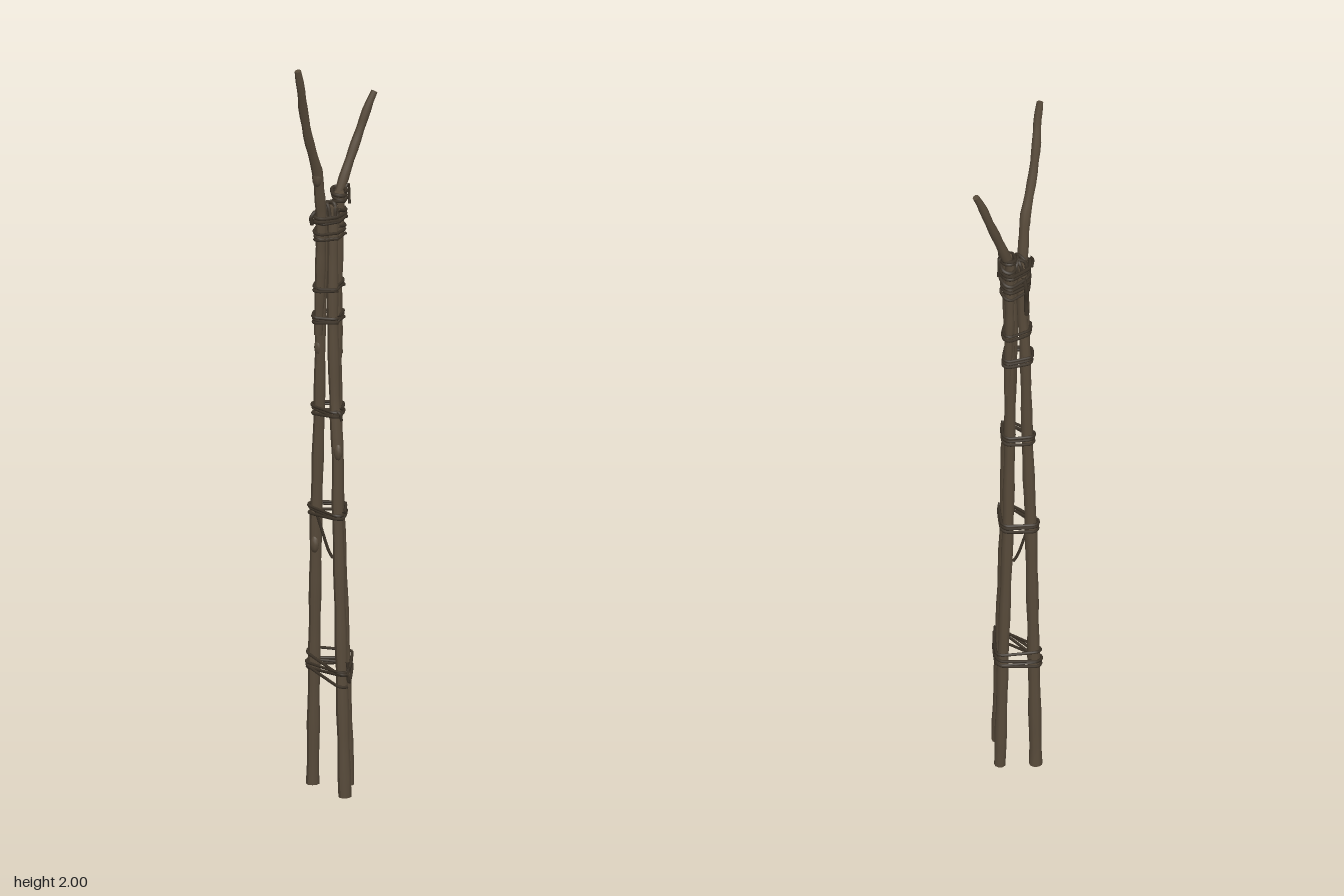
import * as THREE from 'three';

const wood = new THREE.MeshStandardMaterial({ color: 0x574a3a });
wood.name = 'weathered wood';
const cord = new THREE.MeshStandardMaterial({ color: 0x3b3227 });
cord.name = 'dark cord';

// Each stick is a path of [x, y, z, radius], ordered by height
const sticks = {
  leftLeg: [[0.069, 0, 0.005, 0.017], [0.056, 0.4, 0.005, 0.016], [0.042, 0.78, 0.003, 0.015],
    [0.04, 0.93, 0, 0.016], [0.027, 1.05, -0.003, 0.015], [0.018, 1.3, -0.004, 0.015], [0.016, 1.59, -0.008, 0.014]],
  rightLeg: [[-0.07, 0, -0.025, 0.017], [-0.06, 0.36, -0.02, 0.016], [-0.046, 0.75, -0.012, 0.016],
    [-0.031, 1.03, -0.007, 0.015], [-0.022, 1.32, -0.003, 0.014], [-0.012, 1.4, 0, 0.014], [-0.01, 1.57, 0, 0.014]],
  backLeg: [[0.004, 0, -0.081, 0.016], [0.002, 0.35, -0.069, 0.015], [0, 0.76, -0.049, 0.015],
    [0.003, 1.03, -0.037, 0.015], [0.004, 1.3, -0.034, 0.014], [0.014, 1.62, -0.036, 0.014]],
  frontBranch: [[-0.014, 1.24, 0.016, 0.011], [-0.004, 1.4, 0.019, 0.014], [0.005, 1.57, 0.025, 0.014],
    [0.012, 1.69, 0.046, 0.014], [0.017, 1.8, 0.09, 0.012], [0.022, 1.88, 0.114, 0.012],
    [0.033, 1.94, 0.134, 0.011], [0.034, 1.996, 0.148, 0.009]],
  backBranch: [[0.006, 1.18, -0.044, 0.009], [0, 1.4, -0.043, 0.012], [-0.002, 1.6, -0.045, 0.013],
    [0.006, 1.68, -0.075, 0.013], [0.015, 1.77, -0.112, 0.012], [0.027, 1.84, -0.134, 0.011],
    [0.034, 1.872, -0.148, 0.009]],
};

// Centre and radius of a stick at a height
function stickAt(path, y) {
  let i = 0;
  while (i < path.length - 2 && y > path[i + 1][1]) i++;
  const a = path[i], b = path[i + 1];
  const t = THREE.MathUtils.clamp((y - a[1]) / (b[1] - a[1]), 0, 1);
  return a.map((v, k) => THREE.MathUtils.lerp(v, b[k], t));
}

// Bend and taper a capped cylinder along a stick path
function makeStick(name, path, seed) {
  const rings = 28;
  const geo = new THREE.CylinderGeometry(1, 1, 1, 9, rings);
  const pos = geo.attributes.position;
  const y0 = path[0][1], y1 = path[path.length - 1][1];
  const up = new THREE.Vector3(0, 1, 0), q = new THREE.Quaternion();
  for (let i = 0; i < pos.count; i++) {
    const t = pos.getY(i) + 0.5, y = THREE.MathUtils.lerp(y0, y1, t);
    const [x, , z, r] = stickAt(path, y);
    const lo = stickAt(path, Math.max(y0, y - 0.02)), hi = stickAt(path, Math.min(y1, y + 0.02));
    q.setFromUnitVectors(up, new THREE.Vector3(hi[0] - lo[0], hi[1] - lo[1], hi[2] - lo[2]).normalize());
    const lump = 1 + 0.07 * Math.sin(Math.round(t * rings) * 1.9 + seed * 2.3);
    const p = new THREE.Vector3(pos.getX(i), 0, pos.getZ(i)).multiplyScalar(r * lump).applyQuaternion(q);
    pos.setXYZ(i, x + p.x, Math.max(0, y + p.y), z + p.z);
  }
  geo.computeVertexNormals();
  const mesh = new THREE.Mesh(geo, wood);
  mesh.name = name;
  return mesh;
}

// Cord swept through points
function makeCord(name, points, radius, segments) {
  const curve = new THREE.CatmullRomCurve3(points.map(p => new THREE.Vector3(...p)));
  const mesh = new THREE.Mesh(new THREE.TubeGeometry(curve, segments, radius, 6), cord);
  mesh.name = name;
  return mesh;
}

// Cord wound tight around the outside of several sticks
function makeLashing(name, paths, y, rise, turns, tilt, radius = 0.004) {
  const steps = 28, points = [];
  for (let i = 0; i <= steps * turns; i++) {
    const a = i / steps * Math.PI * 2, dx = Math.cos(a), dz = Math.sin(a);
    let best = null, reach = -Infinity;
    for (const path of paths) {
      const s = stickAt(path, y), d = s[0] * dx + s[2] * dz + s[3];
      if (d > reach) { reach = d; best = s; }
    }
    const r = best[3] + radius * 0.7 + 0.0015 * Math.sin(i * 0.31);
    const x = best[0] + dx * r, z = best[2] + dz * r;
    const cross = Math.cos(Math.floor(i / steps) * 2.2);
    points.push([x, y + rise * (i / (steps * turns) - 0.5) + tilt * cross * (x + z * 0.5), z]);
  }
  return makeCord(name, points, radius, steps * turns * 2);
}

export function createModel() {
  const group = new THREE.Group();
  group.name = 'lashedStickTripod';

  // Legs and forked branches
  Object.entries(sticks).forEach(([name, path], i) => group.add(makeStick(name, path, i)));

  // Knots in the wood
  for (const [x, y, z, r] of [[0.046, 0.93, 0.006, 0.012], [-0.044, 0.66, -0.004, 0.012],
    [-0.026, 1.2, 0.002, 0.011], [0.012, 1.68, 0.048, 0.014], [0.002, 0.6, -0.056, 0.011]]) {
    const knot = new THREE.Mesh(new THREE.SphereGeometry(r, 8, 6), wood);
    knot.scale.y = 2;
    knot.position.set(x, y, z);
    knot.name = 'woodKnot';
    group.add(knot);
  }

  // Lashings from bottom to top
  const { leftLeg, rightLeg, backLeg, frontBranch, backBranch } = sticks;
  const legs = [leftLeg, rightLeg, backLeg], all = [...legs, frontBranch, backBranch];
  group.add(makeLashing('lowerLashing', legs, 0.335, 0.045, 4, -0.16));
  group.add(makeLashing('middleLashing', legs, 0.758, 0.022, 3, 0.08));
  group.add(makeLashing('upperLashing', legs, 1.033, 0.025, 3, 0.1));
  group.add(makeLashing('branchLashingLow', all, 1.285, 0.022, 3, 0.1));
  group.add(makeLashing('branchLashingMid', all, 1.37, 0.02, 2, 0.1));
  group.add(makeLashing('branchLashingHigh', all, 1.515, 0.035, 3, 0.2));
  group.add(makeLashing('branchLashingTop', all, 1.56, 0.03, 3, 0.25, 0.005));
  group.add(makeLashing('forkLashing', [backLeg, backBranch], 1.61, 0.03, 3, 0.3, 0.005));

  // Cords crossing over the cut tops of the legs
  for (const [ax, az, bx, bz] of [[-0.024, 0.004, 0.024, 0.012], [-0.02, -0.012, 0.03, -0.008],
    [-0.012, -0.028, 0.012, 0.014], [-0.024, 0.01, 0.02, -0.024], [0.03, 0, 0, -0.028]]) {
    group.add(makeCord('crossingCord', [[ax, 1.56, az], [ax * 0.8 + bx * 0.2, 1.59, az * 0.8 + bz * 0.2],
      [ax * 0.2 + bx * 0.8, 1.596, az * 0.2 + bz * 0.8], [bx, 1.565, bz]], 0.005, 12));
  }

  // Loose loops and ends
  group.add(makeCord('hangingLoop', [[-0.034, 0.76, 0.005], [-0.022, 0.7, -0.008], [-0.006, 0.64, -0.02],
    [0.004, 0.625, -0.026], [0.01, 0.66, -0.026], [0.006, 0.76, -0.03]], 0.004, 32));
  group.add(makeCord('looseEndSide', [[-0.022, 1.55, -0.01], [-0.032, 1.51, -0.012],
    [-0.027, 1.47, -0.006], [-0.03, 1.43, -0.008]], 0.006, 20));
  group.add(makeCord('looseEndBack', [[0.012, 1.62, -0.055], [0.012, 1.635, -0.07],
    [0.01, 1.61, -0.077], [0.012, 1.58, -0.076]], 0.004, 16));
  group.add(makeCord('looseEndFront', [[-0.006, 1.58, 0.038], [-0.01, 1.565, 0.048],
    [-0.01, 1.545, 0.044]], 0.005, 12));
  group.add(makeCord('looseEndLeft', [[0.035, 1.04, 0.008], [0.05, 1.035, 0.004], [0.053, 1.015, 0]], 0.004, 12));
  return group;
}
